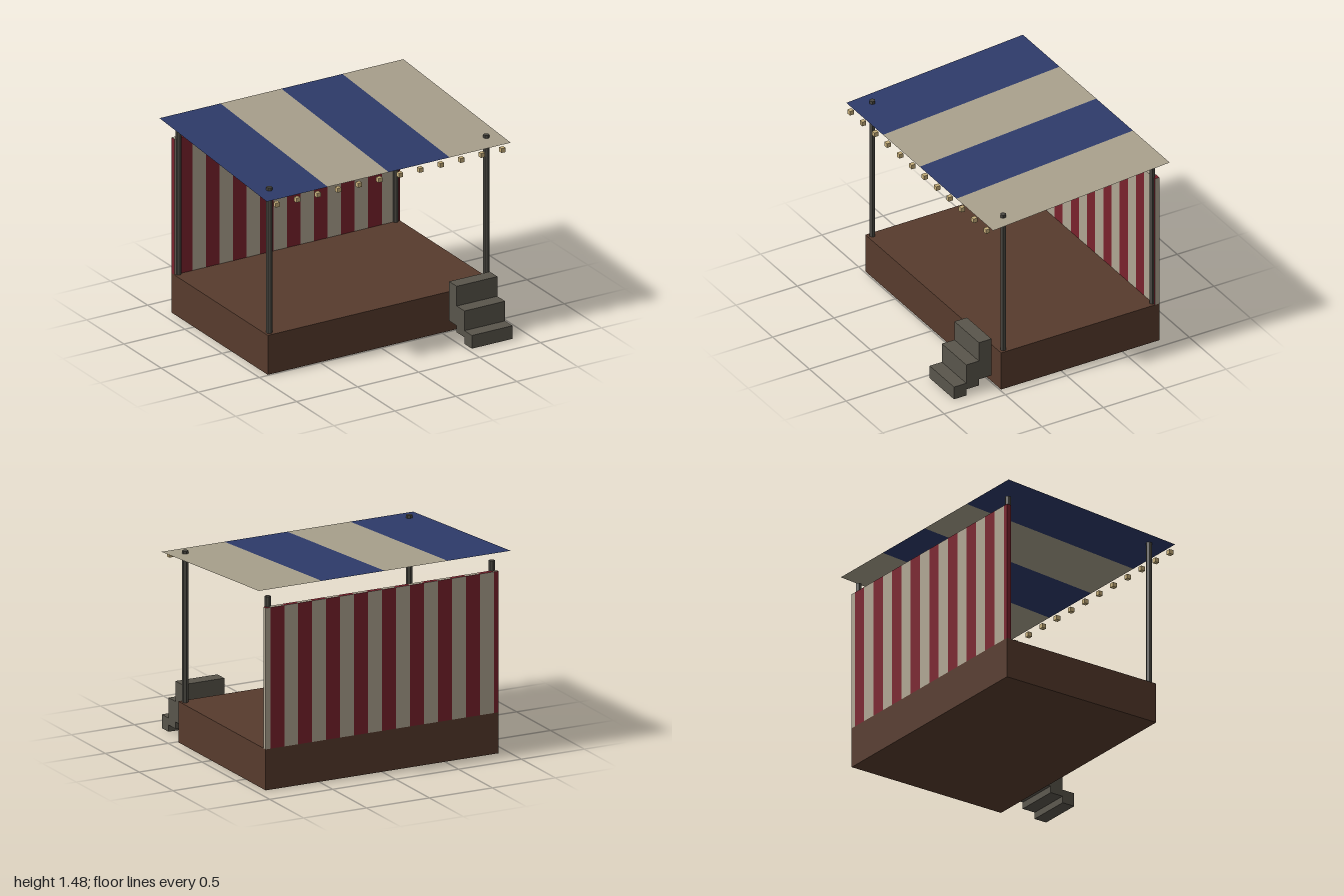
import * as THREE from 'three';

const mat = (name, color, side = THREE.FrontSide) => {
  const m = new THREE.MeshStandardMaterial({ color, side });
  m.name = name;
  return m;
};

export function createModel() {
  const model = new THREE.Group();
  model.name = 'marketStall';

  const wood = mat('brown wood', 0x573b2d);
  const stepGrey = mat('step grey', 0x59554b);
  const postGrey = mat('post grey', 0x4a4842);
  postGrey.flatShading = true;
  const red = mat('curtain red', 0x7a222d);
  const cream = mat('curtain cream', 0xafa592);
  const blue = mat('canopy blue', 0x2d3a69, THREE.DoubleSide);
  const canvas = mat('canopy cream', 0xa79f8b, THREE.DoubleSide);
  const lampYellow = mat('lamp yellow', 0xc8b07c);

  const add = (name, geometry, material, parent = model) => {
    const mesh = new THREE.Mesh(geometry, material);
    mesh.name = name;
    parent.add(mesh);
    return mesh;
  };
  const group = (name) => {
    const g = new THREE.Group();
    g.name = name;
    model.add(g);
    return g;
  };
  // Box given by its extents on each axis
  const box = (name, [x0, x1], [y0, y1], [z0, z1], material, parent) => {
    const g = new THREE.BoxGeometry(x1 - x0, y1 - y0, z1 - z0);
    g.translate((x0 + x1) / 2, (y0 + y1) / 2, (z0 + z1) / 2);
    return add(name, g, material, parent);
  };

  // Stage platform
  box('platform', [-0.925, 0.925], [0, 0.3], [-0.8, 0.49], wood);

  // Three overlapping steps in front of the platform
  const steps = group('steps');
  [[0, 0.1, 0.74, 0.84], [0.05, 0.25, 0.637, 0.74], [0.1, 0.4, 0.535, 0.637]].forEach(([y0, y1, z0, z1]) =>
    box('step', [0.535, 0.868], [y0, y1], [z0, z1], stepGrey, steps));

  // Hexagonal corner posts
  const posts = group('posts');
  for (const x of [-0.89, 0.89]) {
    for (const z of [0.453, -0.765]) {
      add('post', new THREE.CylinderGeometry(0.022, 0.022, 1.11, 6), postGrey, posts).position.set(x, 0.855, z);
    }
  }

  // Striped back curtain; the rear stripes mirror the front ones
  const curtain = group('backCurtain');
  const stripe = 0.111;
  for (let k = -9; k < 9; k++) {
    const x0 = Math.max(k * stripe, -0.925);
    const x1 = Math.min((k + 1) * stripe, 0.925);
    const even = k % 2 === 0;
    const front = even ? red : cream;
    const back = even ? cream : red;
    box('curtainStripe', [x0, x1], [0.3, 1.335], [-0.8, -0.765], [cream, red, front, front, front, back], curtain);
  }

  // Sloping canopy of four thin panels, low at the front
  const canopy = group('canopy');
  const rise = 0.107, depth = 1.44;
  for (let i = 0; i < 4; i++) {
    const g = new THREE.PlaneGeometry(0.5, Math.hypot(rise, depth));
    g.rotateX(-Math.PI / 2 + Math.atan2(rise, depth));
    add('canopyPanel', g, i % 2 ? canvas : blue, canopy).position.set(-0.75 + i * 0.5, 1.43, -0.12);
  }

  // Row of small lamps below the canopy's front edge
  const lamps = group('lamps');
  for (let i = 0; i < 12; i++) {
    add('lamp', new THREE.BoxGeometry(0.033, 0.033, 0.033), lampYellow, lamps)
      .position.set(-0.926 + i * 0.1684, 1.344, 0.609);
  }

  return model;
}
